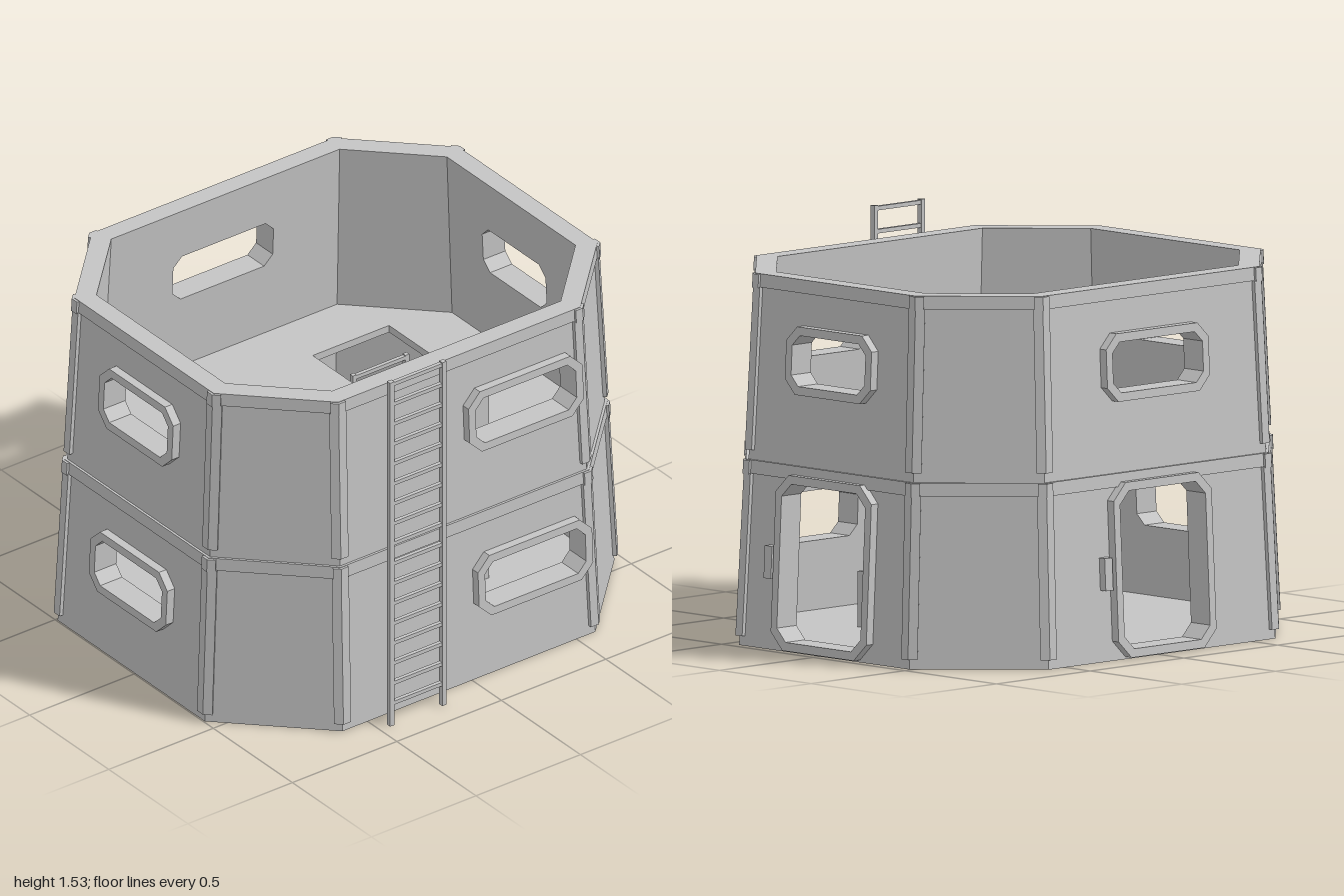
import * as THREE from 'three';

const CX = -0.015, CZ = -0.025;      // tower axis
const HX = 0.98, HZ = 0.84;          // half sizes at the ground
const CORNER_X = 0.605, CORNER_Z = 0.465;
const SLOPE = 0.05, WALL = 0.07, MITRE = Math.tan(Math.PI / 8);
const MID = 0.715, TOP = 1.43;

export function createModel() {
  const metal = new THREE.MeshStandardMaterial({ color: 0xc4c4c4 });
  metal.name = 'lightGrey';
  const model = new THREE.Group();
  model.name = 'tower';

  const add = (name, geometry, parent = model) => {
    const mesh = new THREE.Mesh(geometry, metal);
    mesh.name = name;
    parent.add(mesh);
    return mesh;
  };
  const box = (name, x0, x1, y0, y1, z0, z1, parent = model) => {
    const m = add(name, new THREE.BoxGeometry(x1 - x0, y1 - y0, z1 - z0), parent);
    m.position.set((x0 + x1) / 2, (y0 + y1) / 2, (z0 + z1) / 2);
    return m;
  };
  const points = list => list.map(([x, y]) => new THREE.Vector2(x, y));

  // Eight sides, counted from the front around towards +x
  const sides = [];
  for (let i = 0; i < 8; i++) {
    const a = i * Math.PI / 4;
    const side = { sin: Math.sin(a), cos: Math.cos(a), shift: 0 };
    if (i % 2) {
      side.dist = (CORNER_X + HZ) * Math.SQRT1_2;
      side.half = (HX - CORNER_X) * Math.SQRT1_2;
      side.shift = (i % 4 === 1 ? 1 : -1) * ((CORNER_X + HX) - (CORNER_Z + HZ)) / 2 * Math.SQRT1_2;
    } else {
      side.dist = i % 4 ? HX : HZ;
      side.half = i % 4 ? CORNER_Z : CORNER_X;
    }
    sides.push(side);
  }
  const halfAt = (side, inset) => side.half - MITRE * inset;

  // Lays a flat outline on a sloping side; outline points on the side's edge get mitred
  const panel = (name, side, outline, z0, z1, hole) => {
    const shape = new THREE.Shape(points(outline));
    if (hole) shape.holes.push(new THREE.Path(points(hole)));
    const geo = new THREE.ExtrudeGeometry(shape, { depth: z1 - z0, bevelEnabled: false });
    const p = geo.attributes.position;
    for (let i = 0; i < p.count; i++) {
      let u = p.getX(i);
      const y = p.getY(i), inset = SLOPE * y - (p.getZ(i) + z0);
      if (Math.abs(u) > halfAt(side, SLOPE * y) - 1e-5) u = Math.sign(u) * halfAt(side, inset);
      u += side.shift;
      const d = side.dist - inset;
      p.setXYZ(i, CX + side.sin * d + side.cos * u, y, CZ + side.cos * d - side.sin * u);
    }
    geo.computeVertexNormals();
    return add(name, geo);
  };
  const band = (side, y0, y1) => {
    const a = halfAt(side, SLOPE * y0), b = halfAt(side, SLOPE * y1);
    return [[-a, y0], [a, y0], [b, y1], [-b, y1]];
  };
  // Rectangle with cut corners: centre u, half width, bottom, top, cut
  const chamfered = ([u, w, y0, y1, c]) => [
    [u - w + c, y0], [u + w - c, y0], [u + w, y0 + c], [u + w, y1 - c],
    [u + w - c, y1], [u - w + c, y1], [u - w, y1 - c], [u - w, y0 + c]];
  const grow = ([u, w, y0, y1, c], g) => [u, w + g, y0 - g, y1 + g, c + g * 0.5];

  // Openings by storey and side index
  const door = [0, 0.228, 0.042, 0.648, 0.05];
  const openings = [
    { 0: [0.308, 0.24, 0.305, 0.5, 0.04], 2: door, 4: door, 6: [0, 0.21, 0.305, 0.5, 0.04] },
    { 0: [0.29, 0.24, 1.025, 1.22, 0.04], 2: [0, 0.2, 1.025, 1.22, 0.04],
      4: [0, 0.24, 1.025, 1.22, 0.04], 6: [0, 0.2, 1.025, 1.22, 0.04] }];

  for (let storey = 0; storey < 2; storey++) {
    const y0 = storey * MID, y1 = y0 + MID;
    sides.forEach((side, i) => {
      const hole = openings[storey][i];
      panel('wall', side, band(side, y0, y1), -WALL, 0, hole && chamfered(hole));
      panel('rim', side, band(side, y1 - 0.052, y1), -0.005, 0.01);
      if (hole) {
        const kind = hole === door ? 'doorFrame' : 'windowFrame';
        panel(kind, side, chamfered(grow(hole, 0.033)), -0.01, 0.035, chamfered(hole));
      }
      // Corner posts, one strip and one cap at each end of the side
      for (const s of [-1, 1]) {
        const strip = (name, a, b, width, thick) => {
          const ha = halfAt(side, SLOPE * a), hb = halfAt(side, SLOPE * b);
          const o = [[s * (ha - width), a], [s * ha, a], [s * hb, b], [s * (hb - width), b]];
          panel(name, side, s > 0 ? o : o.reverse(), -0.005, thick);
        };
        strip('cornerPost', y0 + 0.038, y1 - 0.05, 0.03, 0.016);
        strip('postCap', y1 - 0.055, y1 - 0.002, 0.025, 0.02);
      }
    });
  }
  // Control boxes beside both doors
  for (const [side, s] of [[sides[2], -1], [sides[4], -1]]) {
    const u0 = s * 0.315, u1 = s * 0.275;
    panel('doorControl', side, [[u0, 0.275], [u1, 0.275], [u1, 0.4], [u0, 0.4]], -0.005, 0.03);
  }

  // Floors
  const floor = (name, inset, y0, y1, hatch) => {
    const hx = HX - inset, hz = HZ - inset;
    const cx = CORNER_X - MITRE * inset, cz = CORNER_Z - MITRE * inset;
    const at = list => points(list.map(([x, z]) => [x + CX, -(z + CZ)]));
    const shape = new THREE.Shape(at([[cx, hz], [hx, cz], [hx, -cz], [cx, -hz],
      [-cx, -hz], [-hx, -cz], [-hx, cz], [-cx, hz]]));
    if (hatch) shape.holes.push(new THREE.Path(points(hatch)));
    const geo = new THREE.ExtrudeGeometry(shape, { depth: y1 - y0, bevelEnabled: false });
    geo.rotateX(-Math.PI / 2).translate(0, y0, 0);
    add(name, geo);
  };
  floor('groundFloor', 0.01, 0, 0.035);
  floor('upperFloor', 0.08, 0.685, 0.715, [[0.245, 0.15], [0.61, 0.15], [0.61, 0.515], [0.245, 0.515]]);

  // Ladders
  const ladder = (name, x0, x1, z, y0, y1, step, rail) => {
    const group = new THREE.Group();
    group.name = name;
    model.add(group);
    for (const x of [x0, x1 - rail]) box('rail', x, x + rail, y0, y1, z - rail / 2, z + rail / 2, group);
    for (let y = y1 - 0.012; y > y0 + 0.05; y -= step)
      box('rung', x0 + rail, x1 - rail, y - 0.008, y + 0.008, z - 0.008, z + 0.008, group);
  };
  ladder('outerLadder', -0.455, -0.185, 0.888, 0, 1.533, 0.089, 0.02);
  ladder('innerLadder', 0.29, 0.56, -0.33, 0.035, 0.7, 0.1, 0.018);

  // Furniture
  box('lowerCrate', 0.28, 0.47, 0.035, 0.25, 0.15, 0.3);
  box('upperCrate', 0.28, 0.47, MID, 0.945, 0.15, 0.3);
  box('bench', -0.58, -0.305, MID, 0.93, 0.235, 0.365);
  box('benchBack', -0.585, -0.3, MID, 1.0, 0.21, 0.235);
  box('benchLip', -0.575, -0.305, MID, 0.9, 0.365, 0.385);

  return model;
}
